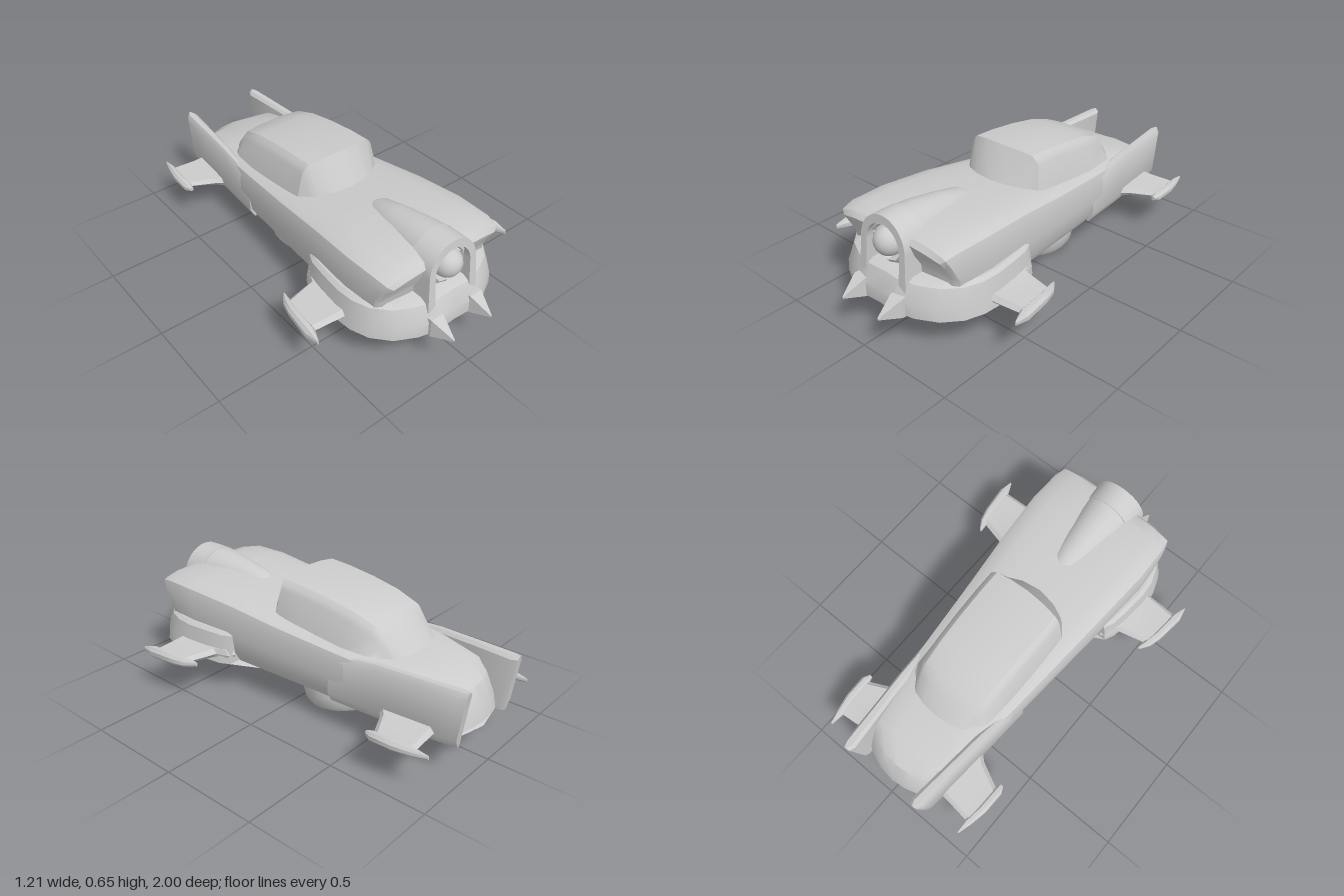
import * as THREE from 'three';
import { toCreasedNormals } from 'three/addons/utils/BufferGeometryUtils.js';

const grey = new THREE.MeshStandardMaterial({ color: 0xcccccc, roughness: 0.6 });
const greyDouble = new THREE.MeshStandardMaterial({ color: 0xcccccc, roughness: 0.6, side: THREE.DoubleSide });

// Skin a list of equal-length rings of [x, y, z] points, with fan caps at both ends.
function loft(rings, crease = 0.6) {
  const n = rings[0].length, pos = rings.flat(2), idx = [];
  for (let i = 0; i < rings.length - 1; i++) {
    for (let j = 0; j < n; j++) {
      const a = i * n + j, b = i * n + (j + 1) % n;
      idx.push(a, a + n, b, b, a + n, b + n);
    }
  }
  [0, rings.length - 1].forEach((r, end) => {
    const c = pos.length / 3;
    for (let k = 0; k < 3; k++) pos.push(rings[r].reduce((s, p) => s + p[k], 0) / n);
    for (let j = 0; j < n; j++) {
      const a = r * n + j, b = r * n + (j + 1) % n;
      if (end) idx.push(c, b, a); else idx.push(c, a, b);
    }
  });
  // Signed volume tells whether the skin faces outward.
  let vol = 0;
  const v = i => new THREE.Vector3().fromArray(pos, i * 3);
  for (let i = 0; i < idx.length; i += 3) vol += v(idx[i]).dot(v(idx[i + 1]).cross(v(idx[i + 2])));
  if (vol < 0) idx.reverse();
  const g = new THREE.BufferGeometry();
  g.setAttribute('position', new THREE.Float32BufferAttribute(pos, 3));
  g.setIndex(idx);
  return toCreasedNormals(g, crease);
}

// Close a half ring (first and last point on x = 0) by mirroring it.
const mirrorRing = half => [...half, ...half.slice(1, -1).reverse().map(([x, y, z]) => [-x, y, z])];

// Flattened hexagon in the z-y plane, used as wing section.
const wingRing = (x, z0, z1, y, h) => [
  [x, y, z0], [x, y + h, z0 + 0.02], [x, y + h, z1 - 0.02],
  [x, y, z1], [x, y - h, z1 - 0.02], [x, y - h, z0 + 0.02]];

// Elliptic ring across z, used for wing-tip pods.
const podRing = (x, y, z, w, h) => Array.from({ length: 8 }, (_, i) => {
  const a = (i + 0.5) * Math.PI / 4;
  return [x + w * Math.cos(a), y + h * Math.sin(a), z];
});

export function createModel() {
  const model = new THREE.Group();
  const add = (name, geometry, material = grey, parent = model) => {
    const m = new THREE.Mesh(geometry, material);
    m.name = name;
    parent.add(m);
    return m;
  };

  // Main body: [z, half width, top, bottom]; the nose undercuts below the brow
  const body = [
    [0.815, 0.315, 0.49, 0.25], [0.795, 0.338, 0.513, 0.22], [0.73, 0.35, 0.53, 0.2], [0.55, 0.355, 0.532, 0.18],
    [0.3, 0.338, 0.515, 0.165], [0, 0.312, 0.475, 0.16], [-0.3, 0.287, 0.447, 0.155],
    [-0.6, 0.262, 0.425, 0.15], [-0.8, 0.235, 0.39, 0.15], [-0.9, 0.22, 0.34, 0.15],
    [-0.945, 0.21, 0.25, 0.15], [-0.96, 0.2, 0.19, 0.165]];
  add('body', loft(body.map(([z, w, t, b]) => {
    const d = t - b;
    return mirrorRing([[0, t], [0.4, t - 0.001], [0.72, t - 0.006], [0.9, t - 0.02], [0.97, t - 0.1 * d],
      [1, t - 0.22 * d], [1, b + 0.45 * d], [0.96, b + 0.18 * d], [0.87, b + 0.02 * d], [0.8, b], [0, b]]
      .map(([u, y]) => {
        const x = u * w;
        let zz = z;
        if (z > 0.7) zz -= Math.min(0.07, Math.max(0, (0.48 - y) * 0.6));
        if (z < -0.85) zz += 1.4 * x * x;
        return [x, y, zz];
      }));
  })));

  // Cabin: [z, half width at top, half width at base, top]; the windshield wraps around
  const cabin = [
    [0.178, 0.19, 0.235, 0.49], [0.082, 0.2, 0.245, 0.652], [-0.05, 0.2, 0.245, 0.646], [-0.2, 0.197, 0.242, 0.63],
    [-0.35, 0.192, 0.235, 0.605], [-0.47, 0.185, 0.228, 0.567], [-0.54, 0.178, 0.215, 0.51], [-0.62, 0.16, 0.19, 0.415]];
  add('cabin', loft(cabin.map(([z, wt, wb, t], i) => {
    const base = Math.min(0.43, t - 0.06), bend = [1.6, 0.5][i] || (z < -0.5 ? -0.8 : 0);
    return mirrorRing([[0, t], [wt * 0.5, t - 0.003], [wt * 0.88, t - 0.012], [wt * 0.98, t - 0.03],
      [wt + 0.01, t - 0.055], [wb, base], [0, base]].map(([x, y]) => [x, y, z - bend * x * x]));
  })));

  // Hood scoop behind the intake arch: [z, half width, top]
  const arch = (z, w, t) => mirrorRing([...Array.from({ length: 7 }, (_, i) => {
    const a = i * Math.PI / 12;
    return [w * Math.sin(a), t - (1 - Math.cos(a)) * Math.min(w, t - 0.42), z];
  }), [w, 0.3, z], [0, 0.3, z]]);
  add('hoodScoop', loft([[0.745, 0.138, 0.589], [0.65, 0.124, 0.584], [0.5, 0.1, 0.562],
    [0.37, 0.076, 0.535], [0.33, 0.062, 0.51]].map(s => arch(...s))));

  // Intake arch: open frame, leaning back toward the top
  const frame = new THREE.Shape();
  frame.moveTo(-0.148, 0.28).lineTo(0.148, 0.28).lineTo(0.14, 0.45);
  frame.absarc(0, 0.45, 0.14, 0, Math.PI, false);
  const opening = new THREE.Path();
  opening.moveTo(-0.105, 0.29).lineTo(-0.105, 0.445);
  opening.absarc(0, 0.445, 0.105, Math.PI, 0, true);
  opening.lineTo(0.105, 0.29);
  frame.holes.push(opening);
  const frameGeo = new THREE.ExtrudeGeometry(frame, { depth: 0.12, bevelEnabled: false, curveSegments: 12 });
  const fp = frameGeo.attributes.position;
  for (let i = 0; i < fp.count; i++) {
    if (fp.getZ(i) > 0.05) fp.setZ(i, 0.12 + (0.59 - fp.getY(i)) * 0.1);
  }
  frameGeo.translate(0, 0, 0.715);
  add('intakeArch', toCreasedNormals(frameGeo, 0.6));

  // Ring and ball inside the intake
  const ring = add('intakeRing', new THREE.LatheGeometry(
    [[0.07, 0], [0.104, 0], [0.104, 0.075], [0.088, 0.085], [0.075, 0.02]].map(p => new THREE.Vector2(...p)), 10), greyDouble);
  ring.geometry = toCreasedNormals(ring.geometry, 0.5);
  ring.rotation.x = Math.PI / 2;
  ring.position.set(0, 0.455, 0.74);
  add('intakeBall', new THREE.SphereGeometry(0.07, 20, 14)).position.set(0, 0.46, 0.81);

  // Front bumper: one plan outline stacked in layers, tapering to a keel underneath
  const outline = [[0, 0.89], [0.1, 0.895], [0.2, 0.872], [0.3, 0.82], [0.37, 0.74], [0.402, 0.65],
    [0.41, 0.55], [0.398, 0.42], [0.385, 0.33], [0.36, 0.28], [0, 0.28]];
  const layers = [[0.337, 0.9, 0.07], [0.322, 0.945, 0.04], [0.24, 0.98, 0], [0.175, 1.005, 0]];
  const bumper = layers.map(([y, s, back]) => mirrorRing(outline.map(([x, z]) =>
    [x * s, y, z - back * Math.max(0, (z - 0.45) / 0.45)])));
  bumper.push(mirrorRing(outline.map(([x, z]) => {
    const zz = 0.22 + (z - 0.28) * 0.95;
    return [x * 0.5, 0.095 + Math.max(0, zz - 0.22) * 0.1, zz];
  })));
  add('frontBumper', loft(bumper, 0.5));

  for (const s of [1, -1]) {
    const side = s > 0 ? 'left' : 'right';

    // Pointed bumper guards
    const guard = (z, x0, x1, y0, y1) => [[s * x0, y0, z], [s * x1, y0, z], [s * x1, y1, z], [s * x0, y1, z]];
    add(side + 'BumperGuard', loft([guard(0.8, 0.085, 0.155, 0.17, 0.265),
      guard(0.895, 0.085, 0.155, 0.17, 0.265), guard(1, 0.113, 0.119, 0.2, 0.208)], 0.2));

    // Tail fins: [z, inner x, outer x, top, rake of the rear edge]
    const fins = [[-0.3, 0.25, 0.285, 0.4, 0], [-0.55, 0.218, 0.27, 0.428, 0], [-0.75, 0.2, 0.255, 0.434, 0],
      [-0.93, 0.18, 0.241, 0.438, 0.13], [-0.955, 0.19, 0.23, 0.44, 0.14]];
    add(side + 'TailFin', loft(fins.map(([z, x0, x1, t, rake]) =>
      [[x0, 0.18], [x0, t - 0.015], [x0 + 0.015, t], [x1 - 0.015, t], [x1, t - 0.025], [x1, 0.2], [x1 - 0.025, 0.153], [x0, 0.153]]
        .map(([x, y]) => [s * x, y, z - rake * (y - 0.153)]))));

    // Front winglet and its tip pod
    add(side + 'FrontWing', loft([[0.33, 0.27, 0.63, 0.22, 0.04], [0.365, 0.285, 0.62, 0.22, 0.032],
      [0.39, 0.345, 0.61, 0.222, 0.024], [0.56, 0.385, 0.6, 0.228, 0.016]]
      .map(([x, ...r]) => wingRing(s * x, ...r)), 0.3));
    add(side + 'FrontWingTip', loft([[0.53, 0.335, 0.006, 0.012], [0.55, 0.385, 0.021, 0.024], [0.565, 0.45, 0.024, 0.028],
      [0.58, 0.595, 0.027, 0.03], [0.588, 0.662, 0.004, 0.012]]
      .map(([x, z, w, h]) => podRing(s * x, 0.224, z, w, h))));

    // Rear winglet and its tip pod
    add(side + 'RearWing', loft([[0.2, -0.86, -0.55, 0.205, 0.028], [0.25, -0.862, -0.57, 0.205, 0.026],
      [0.295, -0.866, -0.61, 0.206, 0.02], [0.42, -0.88, -0.67, 0.208, 0.013]]
      .map(([x, ...r]) => wingRing(s * x, ...r)), 0.3));
    add(side + 'RearWingTip', loft([[0.415, -0.947, 0.004, 0.01], [0.421, -0.88, 0.019, 0.02], [0.435, -0.79, 0.023, 0.024],
      [0.438, -0.675, 0.023, 0.024], [0.433, -0.642, 0.01, 0.012]]
      .map(([x, z, w, h]) => podRing(s * x, 0.208, z, w, h))));
  }

  // Underside thrusters: bowl with a hollow and a stepped nozzle; drop is how far the nozzle hangs
  const thruster = (name, z, y, r, tilt, drop) => {
    const profile = [[0.96, 0.85], [1, 0.6], [1, 0.35], [0.96, 0.12], [0.88, 0], [0.8, 0], [0.74, 0.1], [0.7, 0.42],
      [0.5, 0.42], [0.46, 0.12 - drop], [0.38, 0.08 - drop], [0.33, 0.25 - drop], [0.22, 0.25 - drop],
      [0.2, 0.12 - drop], [0.12, 0.06 - drop], [0, 0.05 - drop]];
    const g = new THREE.LatheGeometry(profile.map(([a, b]) => new THREE.Vector2(a * r, b * r)), 28);
    const m = add(name, toCreasedNormals(g, 0.7), greyDouble);
    m.position.set(0, y, z);
    m.rotation.x = tilt;
  };
  thruster('mainThruster', -0.175, 0.02, 0.208, 0.085, 0);
  thruster('rearThruster', -0.695, 0.068, 0.143, 0.28, 0);
  thruster('frontThruster', 0.66, 0.068, 0.13, -0.08, 0.28);
  thruster('smallThruster', 0.39, 0.06, 0.088, -0.08, 0.28);

  return model;
}
